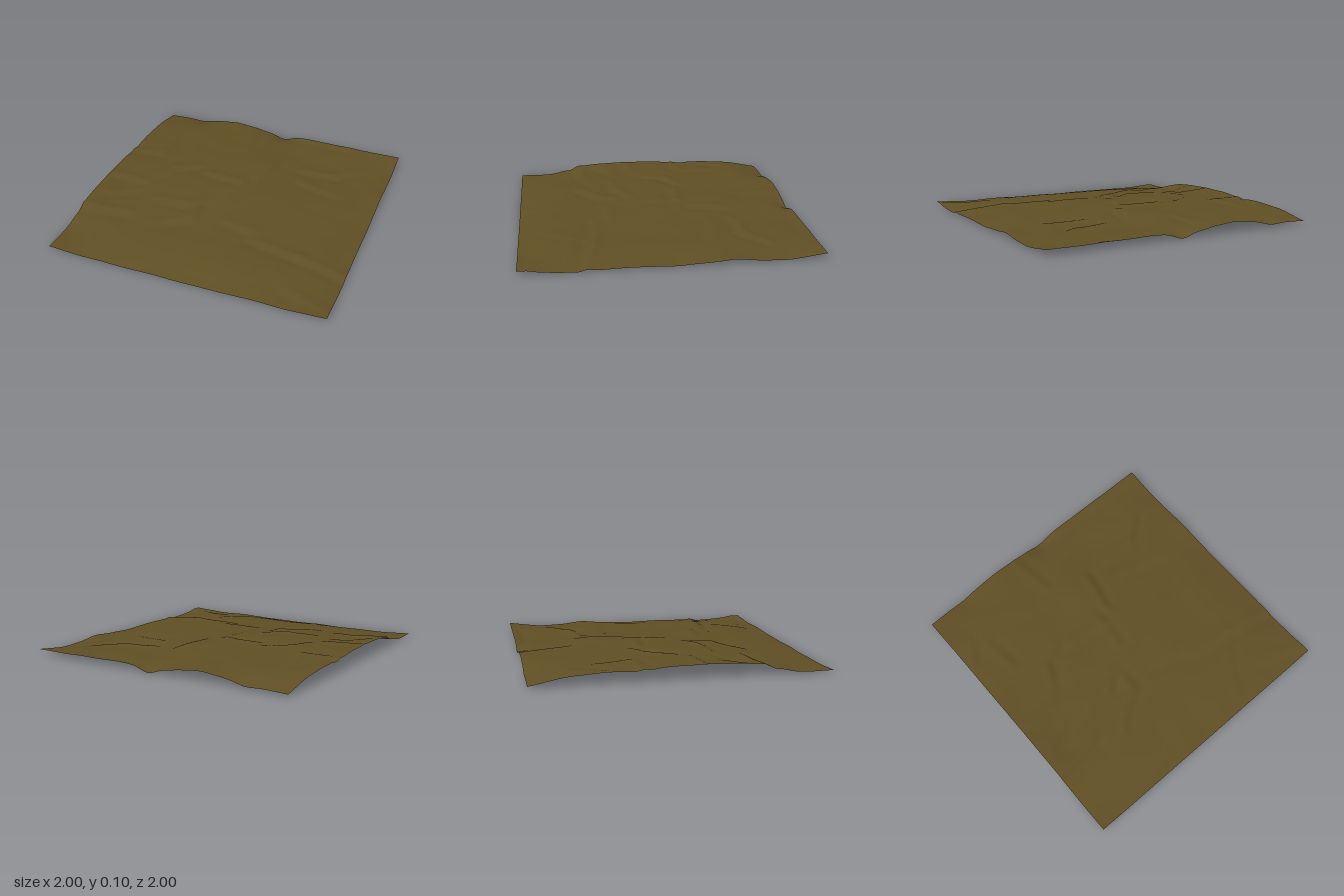
import * as THREE from 'three';

// Broad terrain heights in thousandths: rows run from z = -1 to 1, columns from x = -1 to 1
const HEIGHTS = [
  [18, 28, 56, 58, 26, 40, 38, 40, 40],
  [64, 74, 76, 68, 56, 38, 33, 34, 10],
  [78, 80, 80, 76, 74, 52, 40, 32, 16],
  [86, 87, 85, 80, 79, 62, 46, 37, 18],
  [96, 89, 84, 83, 82, 67, 50, 40, 6],
  [96, 78, 80, 78, 70, 61, 49, 39, 12],
  [76, 60, 62, 55, 56, 53, 45, 38, 8],
  [18, 31, 40, 42, 46, 48, 42, 30, 5],
  [14, 3, 4, 6, 4, 8, 14, 12, 32],
];

// Mounds and hollows: x, z, radius, height
const MOUNDS = [
  [0, -0.45, 0.15, 0.01], [-0.42, -0.02, 0.14, 0.008], [0.5, -0.78, 0.12, 0.008],
  [1, -0.4, 0.1, 0.012], [-0.8, 0.26, 0.08, -0.01], [-0.82, 0.42, 0.07, -0.006],
  [0.03, -1, 0.07, -0.022], [-0.38, -1, 0.09, 0.01], [-0.7, -1, 0.08, -0.012],
  [-1, -0.33, 0.06, -0.012], [0.22, 0.3, 0.1, 0.006], [0.42, 0, 0.1, 0.005],
];

// Eroded ledges: x1, z1, x2, z2, drop (the ground falls away on the +z / +x side)
const LEDGES = [
  [0.15, -0.97, 0.6, -0.96, 0.01], [-0.14, -0.65, -0.18, -0.95, 0.01],
  [0.35, -0.5, 0.6, -0.53, 0.015], [0.6, -0.53, 0.75, -0.66, 0.013],
  [0.1, -0.25, 0.15, -0.5, 0.016], [-0.3, -0.15, -0.05, -0.13, 0.016],
  [-0.6, 0, -0.54, -0.13, 0.014], [-0.54, -0.13, -0.4, -0.21, 0.014],
  [-0.02, 0.05, 0, -0.2, 0.01], [-0.5, 0.3, -0.3, 0.28, 0.015],
  [-0.3, 0.28, -0.2, 0.21, 0.013], [-0.4, 0.55, -0.2, 0.42, 0.016],
  [-0.15, 0.4, -0.16, 0.25, 0.012], [-0.92, 0.14, -0.72, 0.13, 0.015],
  [-0.9, 0.36, -0.72, 0.27, 0.012], [-1, 0.56, -0.65, 0.51, 0.02],
  [0.3, 0.48, 0.65, 0.53, 0.015], [0.65, 0.53, 1, 0.59, 0.015],
  [0.05, 0.37, 0.28, 0.4, 0.012], [0.4, -0.33, 0.65, -0.28, 0.011],
  [-0.72, -0.35, -0.75, -0.55, 0.011], [-0.98, -0.25, -0.75, -0.27, 0.011],
  [-0.5, 0.98, -0.3, 0.94, 0.006], [0.68, 0.86, 0.98, 0.96, 0.01],
  [0.42, 0.85, 0.55, 0.65, 0.006], [-0.93, -0.5, -0.85, -0.68, 0.009],
];

// Smooth curve through evenly spaced values
function spline(v, u) {
  const last = v.length - 1;
  const i = Math.min(Math.floor(u), last - 1), t = u - i;
  const b = v[i], c = v[i + 1];
  const a = i > 0 ? v[i - 1] : 2 * b - c;
  const d = i + 2 <= last ? v[i + 2] : 2 * c - b;
  return b + 0.5 * t * (c - a + t * (2 * a - 5 * b + 4 * c - d + t * (3 * (b - c) + d - a)));
}

// Rounded rise or hollow
function mound(x, z, [cx, cz, radius, height]) {
  return height * Math.exp(-((x - cx) ** 2 + (z - cz) ** 2) / radius ** 2);
}

// Local rise and fall across one ledge, fading beyond its ends
function ledge(x, z, [x1, z1, x2, z2, drop]) {
  const width = 0.05;
  const len = Math.hypot(x2 - x1, z2 - z1);
  const dx = (x2 - x1) / len, dz = (z2 - z1) / len;
  const along = (x - x1) * dx + (z - z1) * dz;
  const across = ((z - z1) * dx - (x - x1) * dz) / width;
  const beyond = Math.max(0, -along, along - len) / width;
  return -drop * across * Math.exp(-across * across - beyond * beyond);
}

function heightAt(x, z) {
  const u = THREE.MathUtils.clamp((x + 1) * 4, 0, 8);
  const v = THREE.MathUtils.clamp((z + 1) * 4, 0, 8);
  let h = spline(HEIGHTS.map((row) => spline(row, u)), v) / 1000;
  for (const m of MOUNDS) h += mound(x, z, m);
  for (const l of LEDGES) h += ledge(x, z, l);
  // gentle fine undulation
  h += 0.0015 * Math.sin(9 * x + 4 * Math.sin(5 * z)) * Math.sin(11 * z + 3 * Math.sin(4 * x));
  return Math.max(0, h);
}

export function createModel() {
  const group = new THREE.Group();
  group.name = 'terrainPatch';
  const soil = new THREE.MeshStandardMaterial({ color: 0x5f4e24, side: THREE.DoubleSide });
  soil.name = 'soil brown';

  // Ground sheet, raised to the terrain heights
  const geometry = new THREE.PlaneGeometry(2, 2, 140, 140).rotateX(-Math.PI / 2);
  const p = geometry.attributes.position;
  for (let i = 0; i < p.count; i++) p.setY(i, heightAt(p.getX(i), p.getZ(i)));
  geometry.computeVertexNormals();

  const ground = new THREE.Mesh(geometry, soil);
  ground.name = 'ground';
  group.add(ground);
  return group;
}
